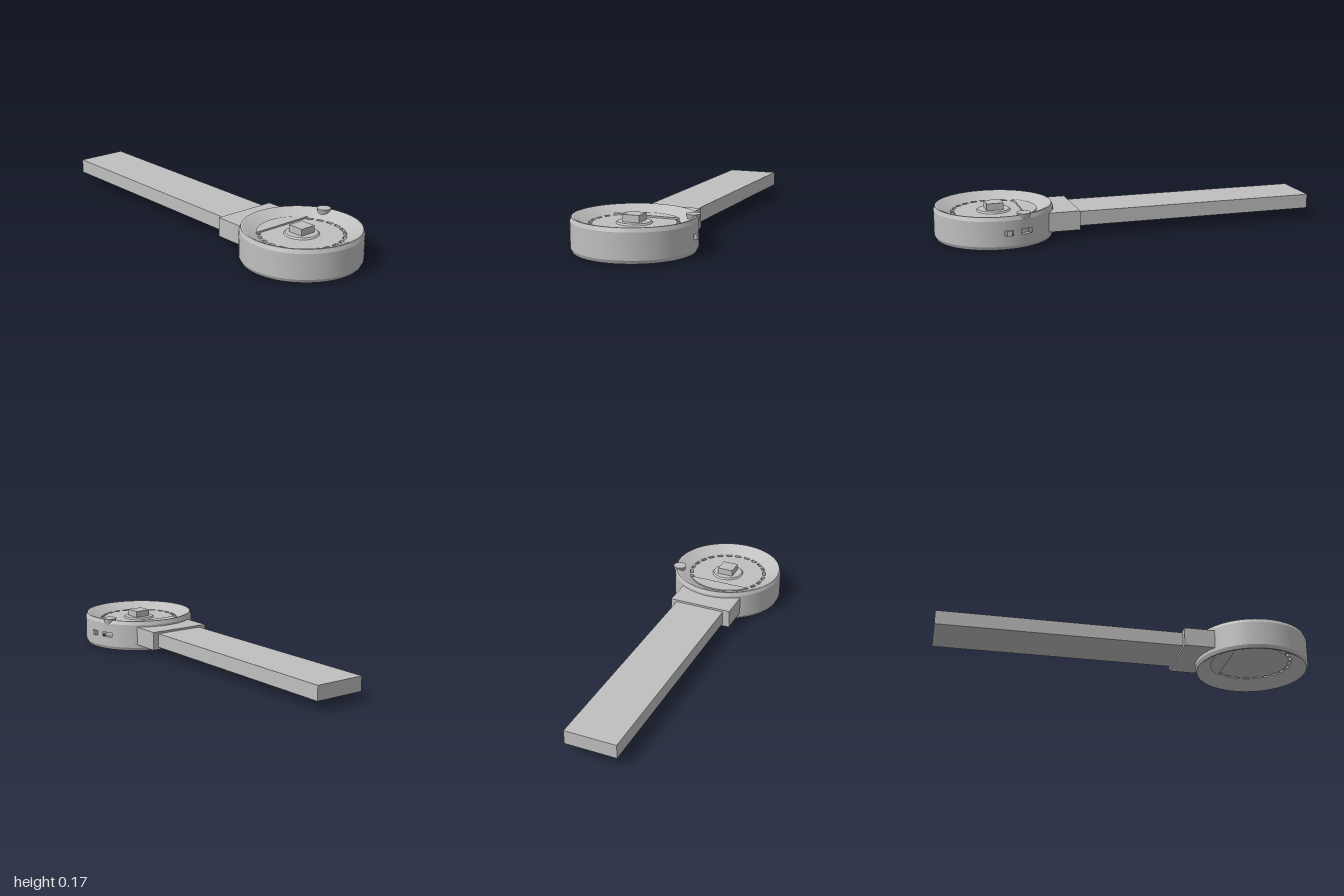
import * as THREE from 'three';
import { toCreasedNormals } from 'three/addons/utils/BufferGeometryUtils.js';

const CX = 0.695, CZ = 0.006; // centre of the round head

export function createModel() {
  const model = new THREE.Group();
  const steel = new THREE.MeshStandardMaterial({ color: 0xbfbfbf });
  steel.name = 'steel grey';

  function add(name, geometry, x = 0, y = 0, z = 0, parent = model) {
    const mesh = new THREE.Mesh(geometry, steel);
    mesh.name = name;
    mesh.position.set(x, y, z);
    parent.add(mesh);
    return mesh;
  }
  const box = (name, x0, x1, y0, y1, z0, z1) =>
    add(name, new THREE.BoxGeometry(x1 - x0, y1 - y0, z1 - z0), (x0 + x1) / 2, (y0 + y1) / 2, (z0 + z1) / 2);

  // handle and the thicker block joining it to the head
  box('handle', -1, 0.29, 0.049, 0.124, -0.134, 0.14);
  box('handleSocket', 0.282, 0.445, 0.036, 0.135, -0.166, 0.178);

  const head = new THREE.Group();
  head.name = 'head';
  head.position.set(CX, 0, CZ);
  model.add(head);

  // head housing: chamfered ring with shallow funnels above and below
  const slotLow = 0.07, slotHigh = 0.096, slotR = 0.28;
  const sweep = (name, start, length, notched) => {
    const notch = notched
      ? [[0.303, slotLow], [slotR, slotLow], [slotR, slotHigh], [0.303, slotHigh]] : [];
    const profile = [[0.217, 0.045], [0.285, 0], [0.294, 0], [0.303, 0.018], ...notch,
      [0.303, 0.146], [0.295, 0.166], [0.287, 0.166], [0.217, 0.13], [0.217, 0.045]];
    const g = new THREE.LatheGeometry(profile.map(p => new THREE.Vector2(...p)),
      Math.max(3, Math.round(length * 14)), start, length);
    add(name, toCreasedNormals(g, 0.3), 0, 0, 0, head);
  };
  // two small slots cut into the back of the wall
  const cuts = [0, 0.14, 0.28, 0.48].map(a => Math.PI + a);
  sweep('firstSlotWall', cuts[0], cuts[1] - cuts[0], true);
  sweep('slotDivider', cuts[1], cuts[2] - cuts[1], false);
  sweep('secondSlotWall', cuts[2], cuts[3] - cuts[2], true);
  sweep('housing', cuts[3], cuts[0] + 2 * Math.PI - cuts[3], false);
  cuts.forEach((a, i) => {
    const g = new THREE.PlaneGeometry(0.303 - slotR, slotHigh - slotLow);
    g.translate((0.303 + slotR) / 2, (slotLow + slotHigh) / 2, 0);
    // each end face looks into its slot
    if (i % 2 === 1) {
      g.index.array.reverse();
      g.computeVertexNormals();
    }
    add('slotEnd', g, 0, 0, 0, head).rotation.y = a - Math.PI / 2;
  });
  // slider standing out of the first slot
  box('slider', 0.66, 0.685, slotLow, slotHigh, -0.308, -0.27);

  // plate lying flat between two heights
  const plate = (name, shape, y0, y1) => {
    const g = new THREE.ExtrudeGeometry(shape, { depth: y1 - y0, bevelEnabled: false, curveSegments: 32 });
    g.rotateX(-Math.PI / 2);
    add(name, g, 0, y0, 0, head);
  };

  // toothed wheel, open gaps between its teeth
  const teeth = 24, step = 2 * Math.PI / teeth;
  const outline = [];
  for (let i = 0; i < teeth; i++) {
    for (const [r, t] of [[0.2, 0], [0.2, 0.58], [0.218, 0.64], [0.218, 0.94]]) {
      const a = (i + t) * step;
      outline.push(new THREE.Vector2(r * Math.cos(a), r * Math.sin(a)));
    }
  }
  plate('ratchetWheel', new THREE.Shape(outline), 0.045, 0.13);

  // solid segment on the handle side, slightly thicker than the wheel
  const half = Math.acos(0.135 / 0.219);
  const segment = new THREE.Shape();
  segment.absarc(0, 0, 0.219, Math.PI - half, Math.PI + half, false);
  segment.closePath();
  plate('pawlSegment', segment, 0.037, 0.138);

  // square drive on its low boss
  add('driveBoss', new THREE.CylinderGeometry(0.08, 0.087, 0.008, 40), 0, 0.134, 0, head);
  add('squareDrive', new THREE.BoxGeometry(0.086, 0.048, 0.086), -0.001, 0.149, 0, head);

  // flared selector knob on the rim
  add('selectorKnob', new THREE.CylinderGeometry(0.036, 0.024, 0.045, 32), -0.104, 0.1505, -0.257, head);

  return model;
}
